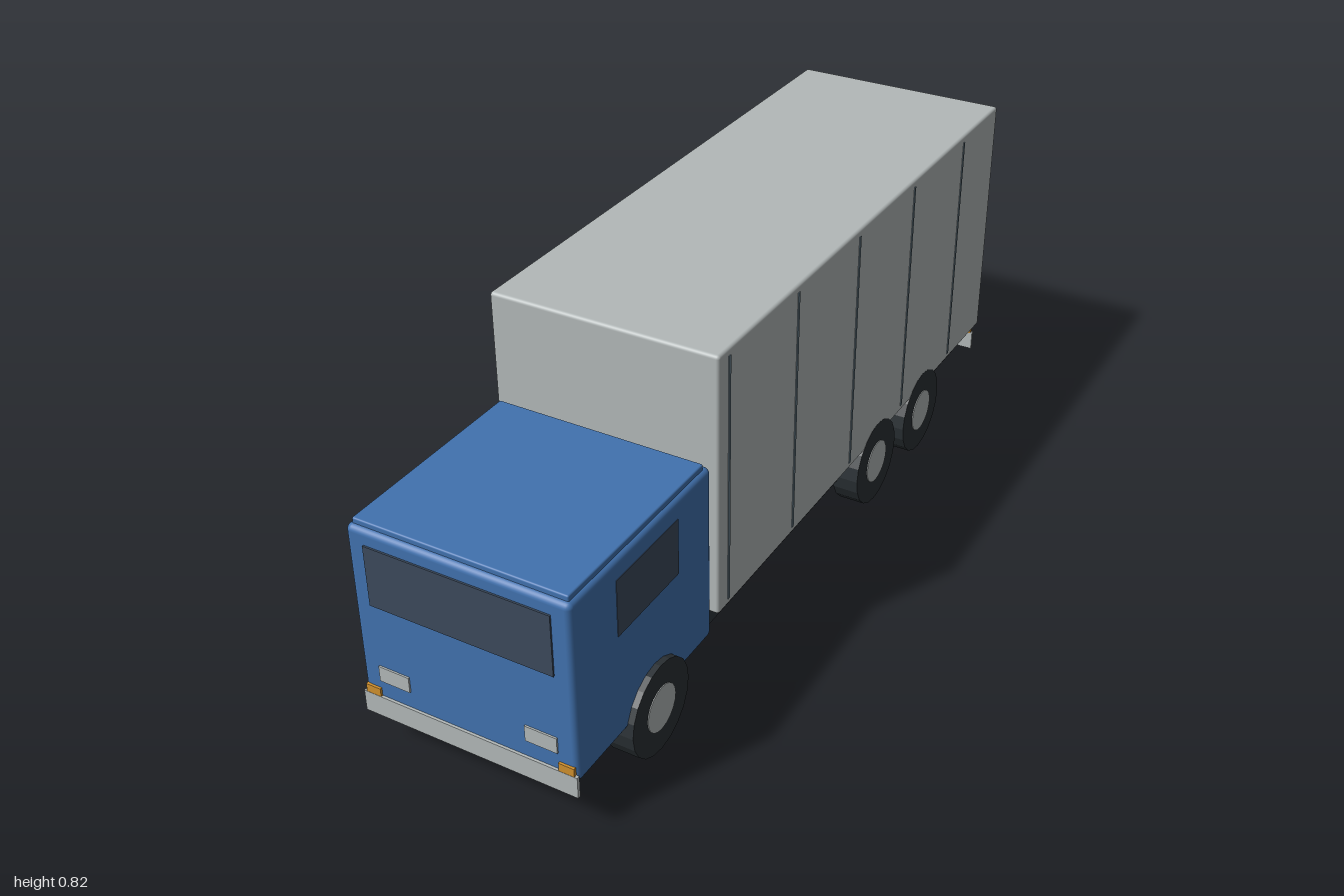
import * as THREE from 'three';
import { RoundedBoxGeometry } from 'three/addons/geometries/RoundedBoxGeometry.js';

function paint(name, color) {
  const m = new THREE.MeshStandardMaterial({ color });
  m.name = name;
  return m;
}

export function createModel() {
  const truck = new THREE.Group();
  truck.name = 'boxTruck';

  const blue = paint('cab blue', 0x4172af);
  const grey = paint('light grey', 0xb3b9b9);
  const glass = paint('dark glass', 0x3c4a5c);
  const dark = paint('charcoal', 0x2d353b);
  const rubber = paint('tyre black', 0x2b3135);
  const seam = paint('seam slate', 0x647884);
  const amber = paint('amber', 0xd0902e);
  const red = paint('red', 0xb02a2c);

  const add = (name, geometry, material, x = 0, y = 0, z = 0) => {
    const mesh = new THREE.Mesh(geometry, material);
    mesh.name = name;
    mesh.position.set(x, y, z);
    truck.add(mesh);
    return mesh;
  };

  // Box given by its limits; a radius rounds the edges
  const block = (name, material, [x0, x1], [y0, y1], [z0, z1], radius = 0) => {
    const size = [x1 - x0, y1 - y0, z1 - z0];
    const geometry = radius
      ? new RoundedBoxGeometry(...size, 3, radius)
      : new THREE.BoxGeometry(...size);
    return add(name, geometry, material, (x0 + x1) / 2, (y0 + y1) / 2, (z0 + z1) / 2);
  };

  // The same box on the left and right
  const pair = (name, material, [x0, x1], y, z) => {
    block(name + 'Left', material, [x0, x1], y, z);
    block(name + 'Right', material, [-x1, -x0], y, z);
  };

  // Main bodies
  block('chassis', dark, [-0.222, 0.222], [0.102, 0.184], [-0.95, 0.955]);
  block('cab', blue, [-0.26, 0.26], [0.13, 0.565], [0.474, 0.994], 0.014);
  block('cabRoof', blue, [-0.25, 0.25], [0.555, 0.577], [0.49, 0.982], 0.004);
  block('cargoBox', grey, [-0.274, 0.274], [0.183, 0.822], [-0.995, 0.469], 0.008);

  // Cab front and side details
  block('windshield', glass, [-0.217, 0.217], [0.385, 0.53], [0.991, 0.998]);
  pair('sideWindow', glass, [0.256, 0.2612], [0.385, 0.52], [0.61, 0.84]);
  pair('headlight', grey, [0.14, 0.215], [0.192, 0.23], [0.991, 0.998]);
  pair('frontMarker', amber, [0.217, 0.253], [0.146, 0.17], [0.991, 0.9995]);
  block('frontBumper', grey, [-0.26, 0.26], [0.098, 0.15], [0.992, 1]);

  // Panel seams along the cargo box
  for (let i = 0; i < 5; i++) {
    const z = 0.426 - i * 0.3;
    pair('panelSeam' + (i + 1), seam, [0.272, 0.2755], [0.2, 0.805], [z - 0.004, z + 0.004]);
  }

  // Rear doors: centre gap, lock bars and hinge lines
  block('doorGap', seam, [-0.003, 0.003], [0.2, 0.795], [-0.9975, -0.99]);
  pair('lockBar', seam, [0.042, 0.048], [0.23, 0.78], [-0.9985, -0.99]);
  pair('hingeLine', seam, [0.241, 0.247], [0.2, 0.795], [-0.9985, -0.99]);
  pair('tailLight', red, [0.163, 0.232], [0.195, 0.248], [-0.9995, -0.991]);
  pair('rearMarker', amber, [0.22, 0.255], [0.148, 0.18], [-0.9995, -0.991]);
  block('rearBumper', grey, [-0.26, 0.26], [0.1, 0.15], [-1, -0.992]);

  // Wheels: one steered axle, two rear axles
  const tyre = new THREE.CylinderGeometry(0.111, 0.111, 0.065, 20).toNonIndexed();
  tyre.computeVertexNormals();
  tyre.rotateZ(Math.PI / 2);
  const hub = new THREE.CylinderGeometry(0.055, 0.055, 0.067, 20);
  hub.rotateZ(Math.PI / 2);
  const axle = new THREE.CylinderGeometry(0.025, 0.025, 0.44, 12);
  axle.rotateZ(Math.PI / 2);
  const axles = { front: 0.71, middle: -0.335, rear: -0.61 };
  for (const [axleName, z] of Object.entries(axles)) {
    add(axleName + 'Axle', axle, dark, 0, 0.111, z);
    for (const side of [1, -1]) {
      const label = axleName + (side > 0 ? 'Left' : 'Right');
      add(label + 'Tyre', tyre, rubber, side * 0.242, 0.111, z);
      add(label + 'Hub', hub, grey, side * 0.243, 0.111, z);
    }
  }

  return truck;
}
